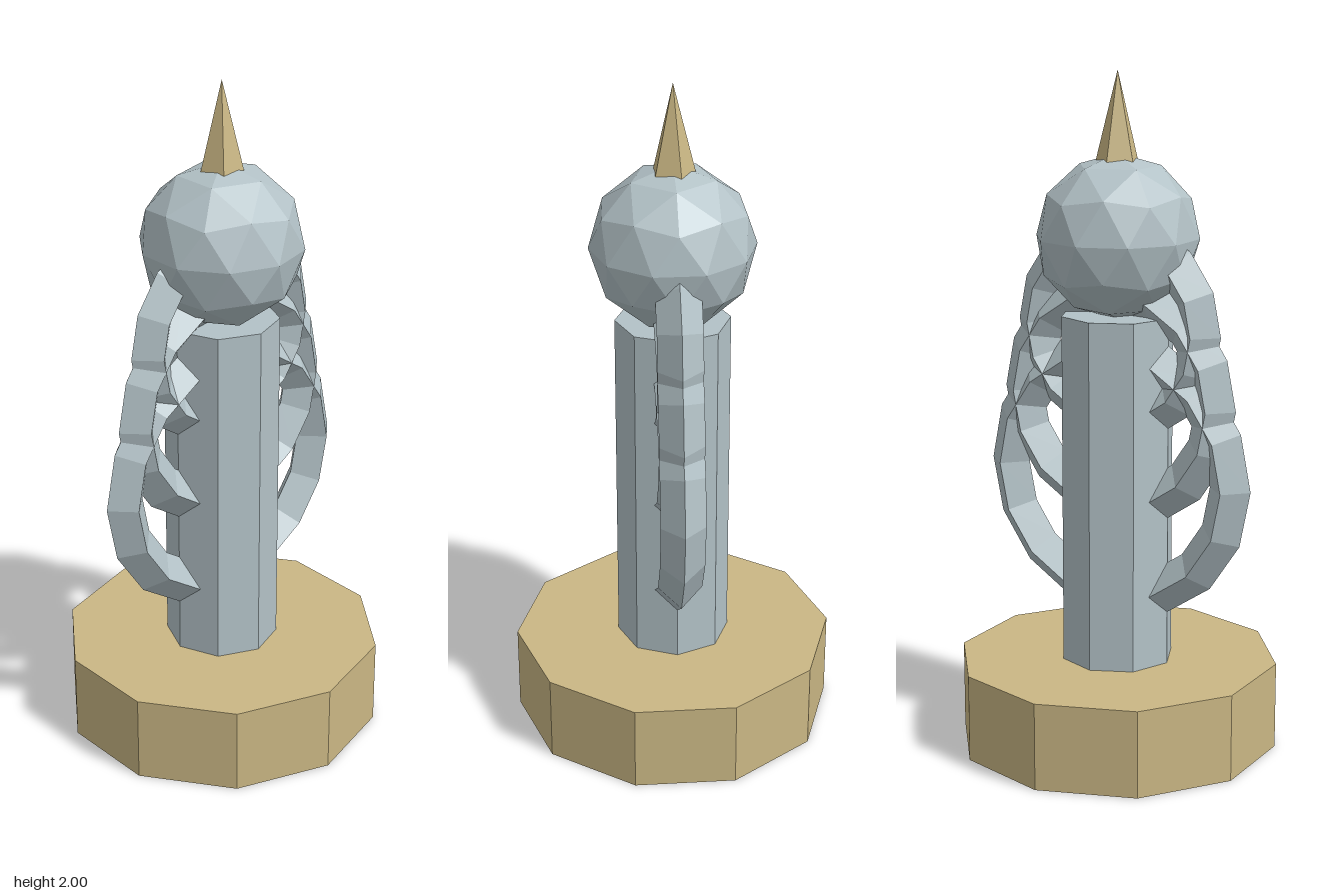
import * as THREE from 'three';

const stone = new THREE.MeshStandardMaterial({ color: 0xb3c2c7 });
stone.name = 'pale blue grey';
const gold = new THREE.MeshStandardMaterial({ color: 0xcab784 });
gold.name = 'sandy gold';

// Mesh with one normal per facet, for the low-poly look
function facetedMesh(name, geometry, material, y) {
  const flat = geometry.index ? geometry.toNonIndexed() : geometry;
  flat.computeVertexNormals();
  const mesh = new THREE.Mesh(flat, material);
  mesh.name = name;
  mesh.position.y = y;
  return mesh;
}

export function createModel() {
  const model = new THREE.Group();
  model.name = 'trophy';

  // Ten-sided plinth and octagonal column
  model.add(facetedMesh('base', new THREE.CylinderGeometry(0.48, 0.48, 0.26, 10), gold, 0.13));
  model.add(facetedMesh('column', new THREE.CylinderGeometry(0.168, 0.168, 1.04, 8), stone, 0.78));

  // Three overlapping upright rings with a diamond section, shrinking upwards
  const handles = new THREE.Group();
  handles.name = 'handles';
  const rings = [
    [0.37, 0.82],
    [0.32, 1.05],
    [0.27, 1.26],
  ];
  rings.forEach(([radius, y], i) => {
    const ring = new THREE.TorusGeometry(radius, 0.065, 4, 16);
    handles.add(facetedMesh(`handleRing${i + 1}`, ring, stone, y));
  });
  model.add(handles);

  // Faceted ball, turned so that a corner points straight up
  const ball = new THREE.IcosahedronGeometry(0.24, 1);
  ball.rotateZ(-Math.atan(2 / (1 + Math.sqrt(5))));
  model.add(facetedMesh('ball', ball, stone, 1.525));

  // Five-sided spike with a corner towards the back
  const spike = new THREE.ConeGeometry(0.066, 0.265, 5);
  spike.rotateY(Math.PI);
  model.add(facetedMesh('spike', spike, gold, 1.8675));

  return model;
}
